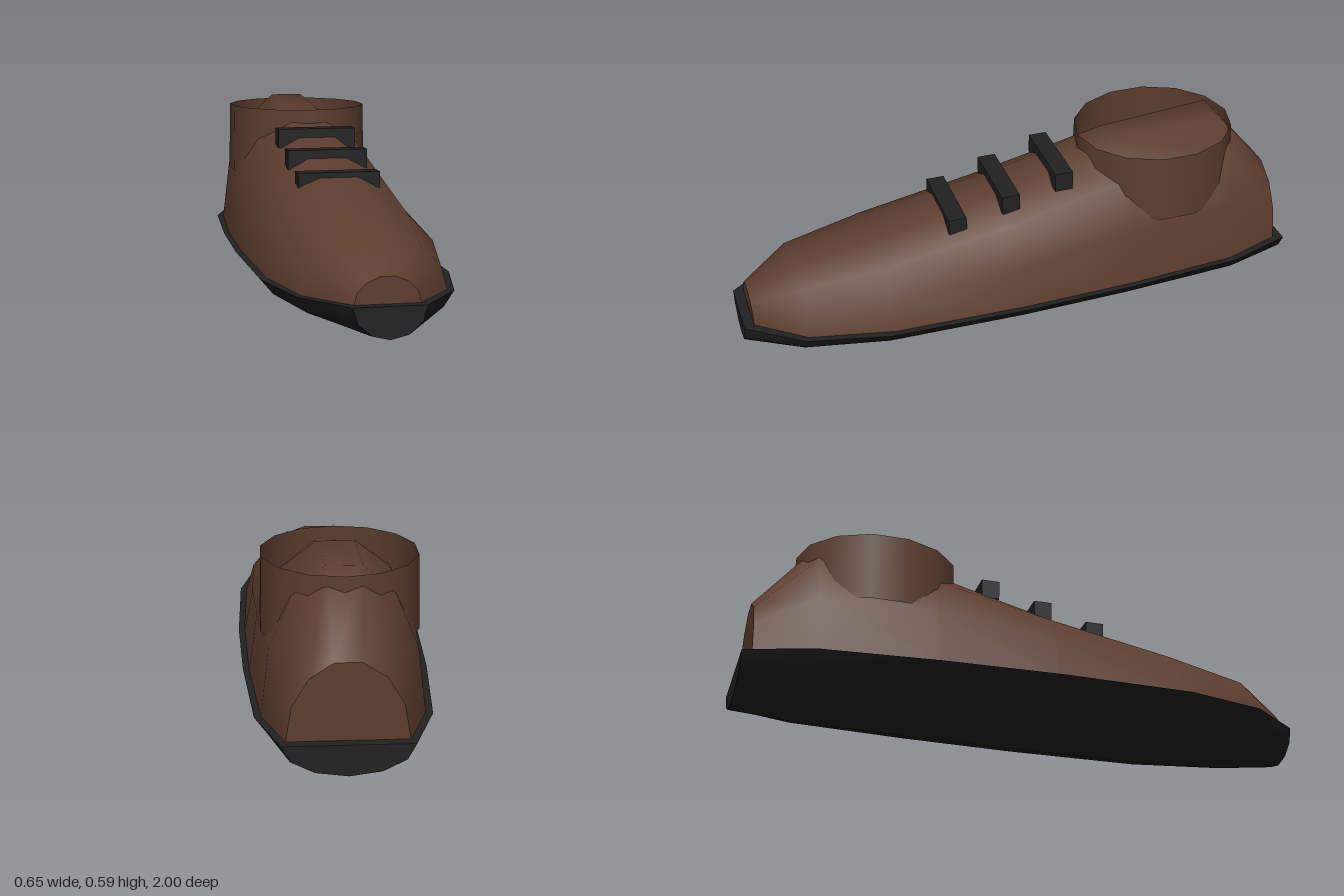
import * as THREE from 'three';

// Lofts half-ellipse sections [z, halfWidth, height], listed front to back.
// dir = 1 arches upward from baseY, dir = -1 hangs below it.
function halfLoft(sections, segments, baseY, dir) {
  const positions = [], indices = [];
  const rows = sections.map(([z, w, h]) =>
    Array.from({ length: segments + 1 }, (_, j) => {
      const a = (j / segments) * Math.PI;
      return [w * Math.cos(a), baseY + dir * h * Math.sin(a), z];
    }));
  const tri = (a, b, c) => indices.push(...(dir > 0 ? [a, b, c] : [a, c, b]));

  // each patch keeps its own vertices, so the rims stay sharp
  const patch = (grid) => {
    const start = positions.length / 3, n = grid[0].length;
    grid.forEach((row) => row.forEach((p) => positions.push(...p)));
    for (let i = 0; i < grid.length - 1; i++) {
      for (let j = 0; j < n - 1; j++) {
        const a = start + i * n + j, c = a + n;
        tri(a, c, a + 1);
        tri(a + 1, c, c + 1);
      }
    }
  };
  const cap = (row, front) => {
    const start = positions.length / 3;
    row.forEach((p) => positions.push(...p));
    for (let j = 1; j < segments; j++) {
      if (front) tri(start, start + j, start + j + 1);
      else tri(start, start + j + 1, start + j);
    }
  };

  patch(rows);
  patch(rows.map((row) => [row[segments], row[0]]));
  cap(rows[0], true);
  cap(rows[rows.length - 1], false);

  const geometry = new THREE.BufferGeometry();
  geometry.setAttribute('position', new THREE.Float32BufferAttribute(positions, 3));
  geometry.setIndex(indices);
  geometry.computeVertexNormals();
  return geometry;
}

export function createModel() {
  const group = new THREE.Group();
  const leather = new THREE.MeshStandardMaterial({ color: 0x5c3d2e, side: THREE.DoubleSide });
  leather.name = 'brown leather';
  const rubber = new THREE.MeshStandardMaterial({ color: 0x222222 });
  rubber.name = 'black rubber';

  const add = (name, geometry, material) => {
    const mesh = new THREE.Mesh(geometry, material);
    mesh.name = name;
    group.add(mesh);
    return mesh;
  };

  // Sole: rounded underneath, flat on top
  const soleTop = 0.102;
  const soleOutline = [
    [1, 0.115], [0.815, 0.25], [0.53, 0.315], [0.05, 0.325],
    [-0.35, 0.313], [-0.77, 0.282], [-1, 0.205],
  ];
  add('sole', halfLoft(soleOutline.map(([z, w]) => [z, w, soleTop]), 6, soleTop, -1), rubber);

  // Upper: low toe rising to the heel
  add('upper', halfLoft([
    [0.965, 0.104, 0.086], [0.8, 0.232, 0.181], [0.51, 0.293, 0.24],
    [0.05, 0.303, 0.345], [-0.36, 0.292, 0.463], [-0.76, 0.26, 0.502],
    [-0.965, 0.19, 0.257],
  ], 7, soleTop, 1), leather);

  // Collar: open oval band around the ankle
  const collar = add('collar', new THREE.CylinderGeometry(0.257, 0.262, 0.248, 14, 1, true), leather);
  collar.scale.z = 1.11;
  collar.position.set(0, 0.449, -0.533);

  // Laces: three bars climbing the instep
  [[0.407, 0.24], [0.462, 0.047], [0.517, -0.147]].forEach(([top, z], i) => {
    const height = 0.068;
    const lace = add(`lace${i + 1}`, new THREE.BoxGeometry(0.284, height, 0.064), rubber);
    lace.position.set(0, top - height / 2, z);
  });

  return group;
}
